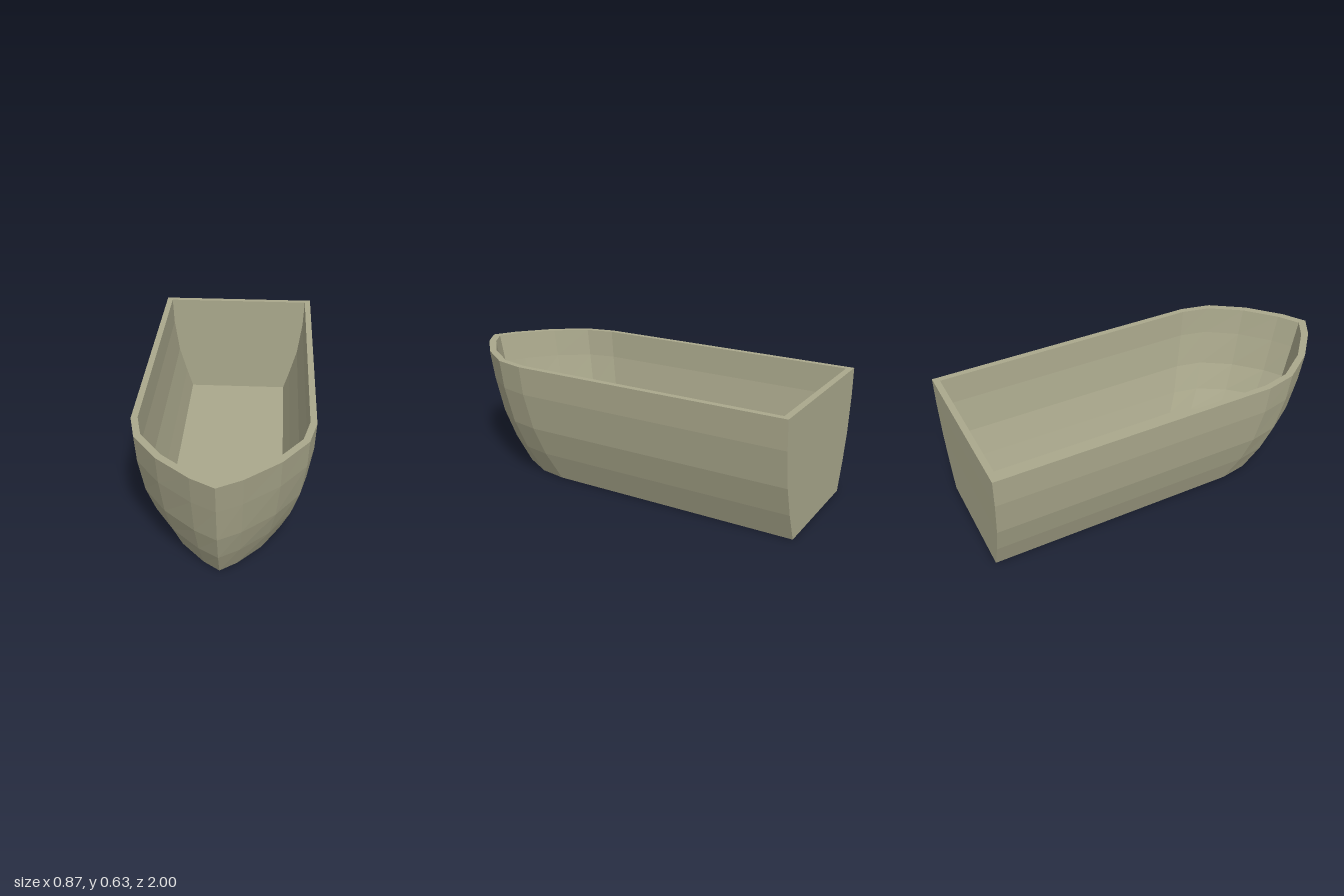
import * as THREE from 'three';

// Hull levels: [height, half width, z where the bow curve starts, z of bow tip, z of stern]
const LEVELS = [
  [0, 0.305, 0.31, 0.79, -1],
  [0.145, 0.36, 0.37, 0.87, -0.998],
  [0.293, 0.403, 0.41, 0.927, -0.996],
  [0.48, 0.43, 0.445, 0.969, -0.994],
  [0.627, 0.437, 0.46, 1, -0.992],
];
// Bow curve: [share of half width, share of bow length]
const BOW = [[1, 0], [0.915, 0.293], [0.635, 0.61], [0.263, 0.875]];

// Closed plan outline, from the left stern corner round the bow to the right stern corner
function ring([y, w, start, tip, stern]) {
  const half = [[w, stern], ...BOW.map(([fx, fz]) => [w * fx, start + (tip - start) * fz])];
  const outline = [...half, [0, tip], ...half.slice().reverse().map(([x, z]) => [-x, z])];
  return outline.map(([x, z]) => new THREE.Vector3(x, y, z));
}

// Same outline moved in by the wall thickness
const inset = ([y, w, start, tip]) => [y, w - 0.032, start - 0.01, tip - 0.045, -0.96];

function loft(rings) {
  const pos = [];
  const tri = (...pts) => pts.forEach((p) => pos.push(p.x, p.y, p.z));
  const n = rings[0].length;
  for (let r = 0; r < rings.length - 1; r++) {
    for (let i = 0; i < n; i++) {
      const j = (i + 1) % n;
      const a = rings[r][i], b = rings[r][j], c = rings[r + 1][i], d = rings[r + 1][j];
      tri(a, c, b);
      tri(b, c, d);
    }
  }
  // Underside and inner floor
  const cap = (pts, up) => {
    const mid = new THREE.Vector3(0, pts[0].y, 0);
    pts.forEach((p, i) => {
      const q = pts[(i + 1) % n];
      if (up) tri(mid, q, p);
      else tri(mid, p, q);
    });
  };
  cap(rings[0], false);
  cap(rings[rings.length - 1], true);
  const geo = new THREE.BufferGeometry();
  geo.setAttribute('position', new THREE.Float32BufferAttribute(pos, 3));
  geo.computeVertexNormals();
  return geo;
}

export function createModel() {
  const group = new THREE.Group();
  group.name = 'boat';

  // Outer skin up to the rim, over it, and down the inside to the floor
  const floor = [0.035, 0.325, 0.325, 0.802, -1];
  const inner = [floor, ...LEVELS.slice(1)].map(inset).reverse();
  const hull = new THREE.Mesh(
    loft([...LEVELS, ...inner].map(ring)),
    new THREE.MeshStandardMaterial({ color: 0xaaa88c, flatShading: true })
  );
  hull.name = 'hull';
  group.add(hull);
  return group;
}
